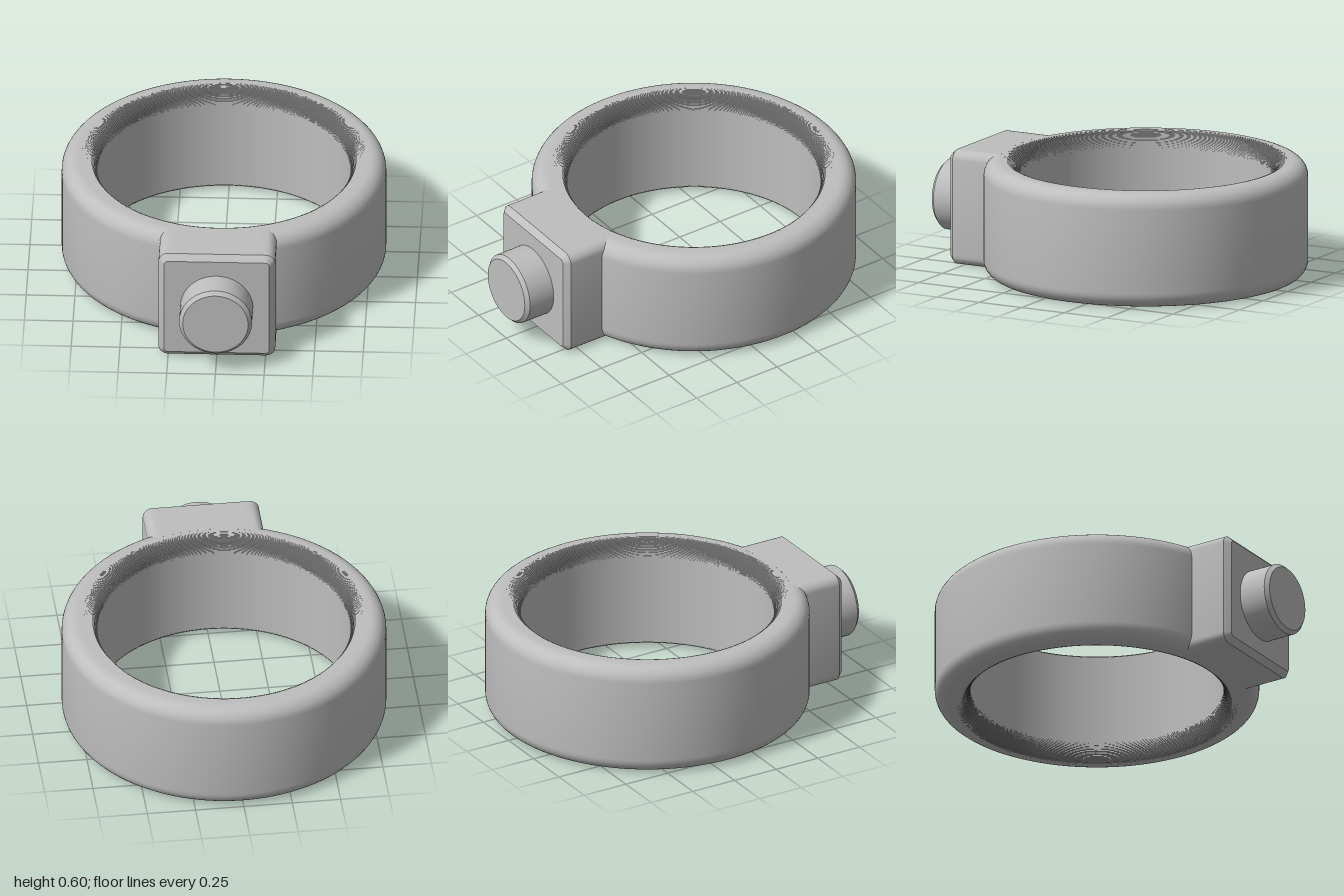
import * as THREE from 'three';
import { toCreasedNormals } from 'three/addons/utils/BufferGeometryUtils.js';

const H = 0.6, R_OUT = 0.833, R_IN = 0.65, FILLET = 0.08, RING_Z = -0.167;

// Points of a quarter arc in the (radius, height) plane
function arc(cx, cy, r, startDeg, steps) {
  const pts = [];
  for (let i = 0; i <= steps; i++) {
    const a = THREE.MathUtils.degToRad(startDeg + (90 * i) / steps);
    pts.push(new THREE.Vector2(cx + r * Math.cos(a), cy + r * Math.sin(a)));
  }
  return pts;
}

// Turn an arc into fine stairs
function stairs(pts, verticalFirst) {
  const out = [pts[0]];
  for (let i = 1; i < pts.length; i++) {
    const a = pts[i - 1], b = pts[i];
    out.push(verticalFirst ? new THREE.Vector2(a.x, b.y) : new THREE.Vector2(b.x, a.y), b);
  }
  return out;
}

// Band: smooth outer rounding, finely stepped rounding at the bore
function ringGeometry() {
  const f = FILLET;
  const profile = [
    new THREE.Vector2(R_IN + f, 0),
    ...arc(R_OUT - f, f, f, -90, 8),
    ...arc(R_OUT - f, H - f, f, 0, 8),
    ...stairs(arc(R_IN + f, H - f, f, 90, 20), true),
    ...stairs(arc(R_IN + f, f, f, 180, 20), false),
  ];
  return toCreasedNormals(new THREE.LatheGeometry(profile, 128), 0.5);
}

// Block: rounded rectangle with a chamfered front, its back curved to sit inside the band
function blockGeometry() {
  const bevel = 0.03, w = 0.3 - bevel, h = H / 2 - bevel, r = 0.02, front = 0.833;
  const pts = [];
  [[1, 1, 0], [-1, 1, 90], [-1, -1, 180], [1, -1, 270]].forEach(([sx, sy, deg]) => {
    pts.push(...arc(sx * (w - r), sy * (h - r), r, deg, 5));
    // extra points along the top and bottom edges let the back follow the curve
    if (deg === 0 || deg === 180) {
      for (let i = 1; i < 12; i++) {
        pts.push(new THREE.Vector2(sx * (w - r) * (1 - i / 6), sy * h));
      }
    }
  });
  const geo = new THREE.ExtrudeGeometry(new THREE.Shape(pts), {
    depth: 0.2, bevelEnabled: true, bevelThickness: bevel, bevelSize: bevel, bevelSegments: 1,
  });
  const p = geo.attributes.position;
  for (let i = 0; i < p.count; i++) {
    const x = p.getX(i), z = p.getZ(i);
    if (z > 0.1) p.setZ(i, front + z - 0.23);
    else p.setZ(i, RING_Z + Math.sqrt(0.745 ** 2 - x * x) + (z < 0 ? 0 : 0.01));
  }
  return toCreasedNormals(geo, 0.5);
}

// Knob: short round stud with a chamfered end
function knobGeometry() {
  const profile = [[0, 0], [0.187, 0], [0.187, 0.197], [0.168, 0.217], [0, 0.217]]
    .map(([x, y]) => new THREE.Vector2(x, y));
  return toCreasedNormals(new THREE.LatheGeometry(profile, 64), 0.5);
}

export function createModel() {
  const group = new THREE.Group();
  group.name = 'clampRing';
  const grey = new THREE.MeshStandardMaterial({ color: 0xbebebe });
  grey.name = 'grey';

  const add = (name, geometry, y, z) => {
    const mesh = new THREE.Mesh(geometry, grey);
    mesh.name = name;
    mesh.position.set(0, y, z);
    group.add(mesh);
    return mesh;
  };

  add('ringBand', ringGeometry(), 0, RING_Z);
  add('mountBlock', blockGeometry(), H / 2, 0);
  add('knob', knobGeometry(), H / 2, 0.783).rotation.x = Math.PI / 2;
  return group;
}
